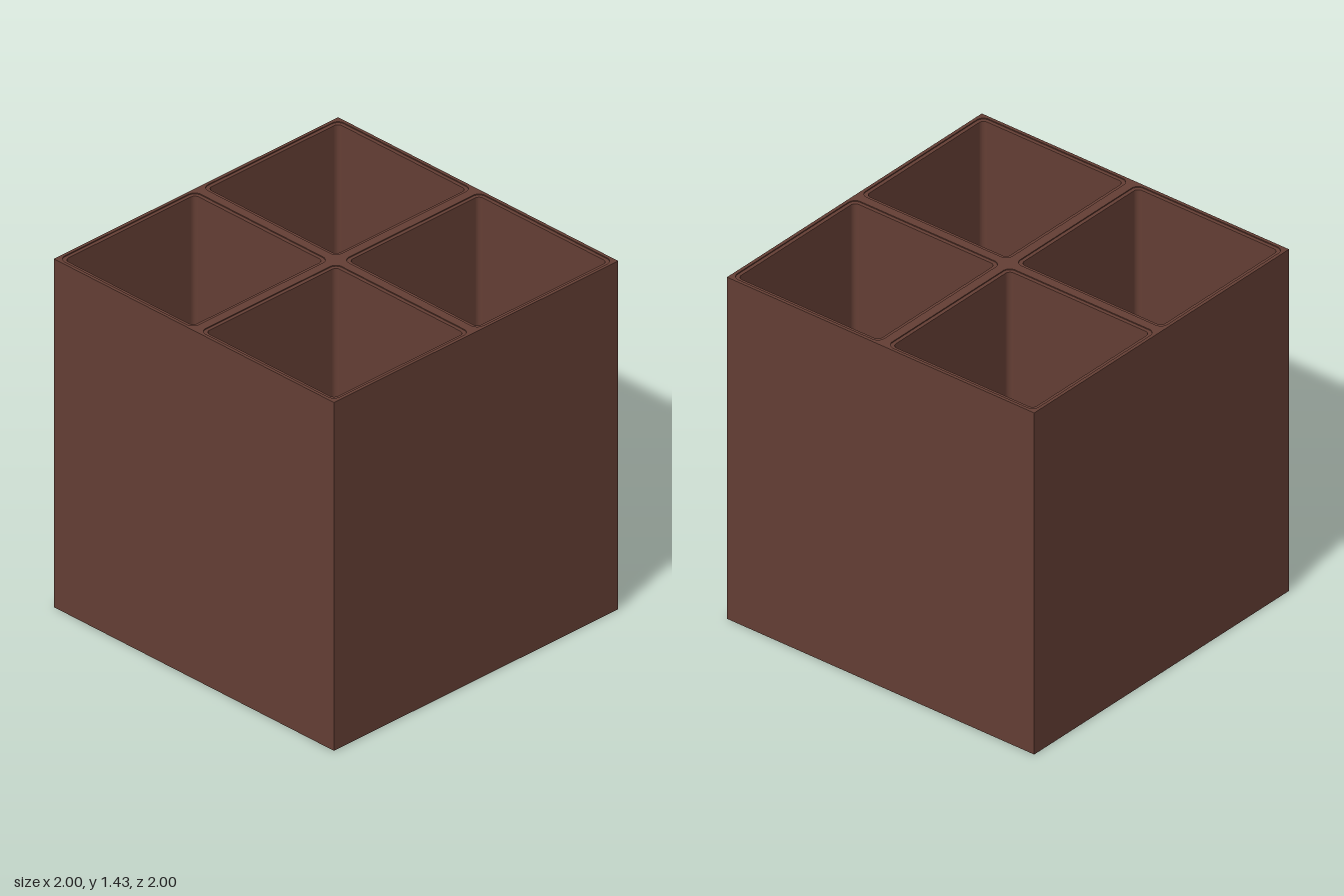
import * as THREE from 'three';

const SIDE = Math.SQRT2;   // outer width of the square body
const HEIGHT = 1.43;
const FLOOR = 0.03;        // thickness of the bottom
const WALL = 0.013;        // outer wall
const DIVIDER = 0.036;     // wall between compartments
const LINER = 0.014;       // thickness of each compartment lining
const LIP = 0.004;         // lining sits this far below the rim

// Square outline with rounded corners, centred on (x, y)
function roundedSquare(PathType, x, y, size, r) {
  const h = size / 2, k = h - r;
  const path = new PathType();
  path.absarc(x + k, y + k, r, 0, Math.PI / 2);
  path.absarc(x - k, y + k, r, Math.PI / 2, Math.PI);
  path.absarc(x - k, y - k, r, Math.PI, Math.PI * 1.5);
  path.absarc(x + k, y - k, r, Math.PI * 1.5, Math.PI * 2);
  path.closePath();
  return path;
}

// Upright extrusion starting on the floor
function upright(name, shape, height, material) {
  const geometry = new THREE.ExtrudeGeometry(shape, { depth: height, bevelEnabled: false, curveSegments: 5 });
  geometry.rotateX(-Math.PI / 2);
  const mesh = new THREE.Mesh(geometry, material);
  mesh.name = name;
  mesh.position.y = FLOOR;
  return mesh;
}

export function createModel() {
  const model = new THREE.Group();
  model.name = 'dividedBox';
  const brown = new THREE.MeshStandardMaterial({ color: 0x643e34 });
  brown.name = 'dark brown';

  // The box stands with a corner facing the front
  const box = new THREE.Group();
  box.name = 'box';
  box.rotation.y = Math.PI / 4;
  model.add(box);

  const bottom = new THREE.Mesh(new THREE.BoxGeometry(SIDE, FLOOR, SIDE), brown);
  bottom.name = 'bottom';
  bottom.position.y = FLOOR / 2;
  box.add(bottom);

  const cell = SIDE / 2 - WALL - DIVIDER / 2;
  const centre = DIVIDER / 2 + cell / 2;
  const h = SIDE / 2;
  const outline = new THREE.Shape([
    new THREE.Vector2(-h, -h), new THREE.Vector2(h, -h),
    new THREE.Vector2(h, h), new THREE.Vector2(-h, h),
  ]);

  // Four compartments: a hole in the body and a lining in each
  for (const sx of [-1, 1]) for (const sy of [-1, 1]) {
    const x = sx * centre, y = sy * centre;
    outline.holes.push(roundedSquare(THREE.Path, x, y, cell, 0.03));
    const ring = roundedSquare(THREE.Shape, x, y, cell, 0.03);
    ring.holes.push(roundedSquare(THREE.Path, x, y, cell - 2 * LINER, 0.02));
    box.add(upright('compartmentLining', ring, HEIGHT - FLOOR - LIP, brown));
  }

  // Outer walls and dividers in one piece
  box.add(upright('wallsAndDividers', outline, HEIGHT - FLOOR, brown));
  return model;
}
